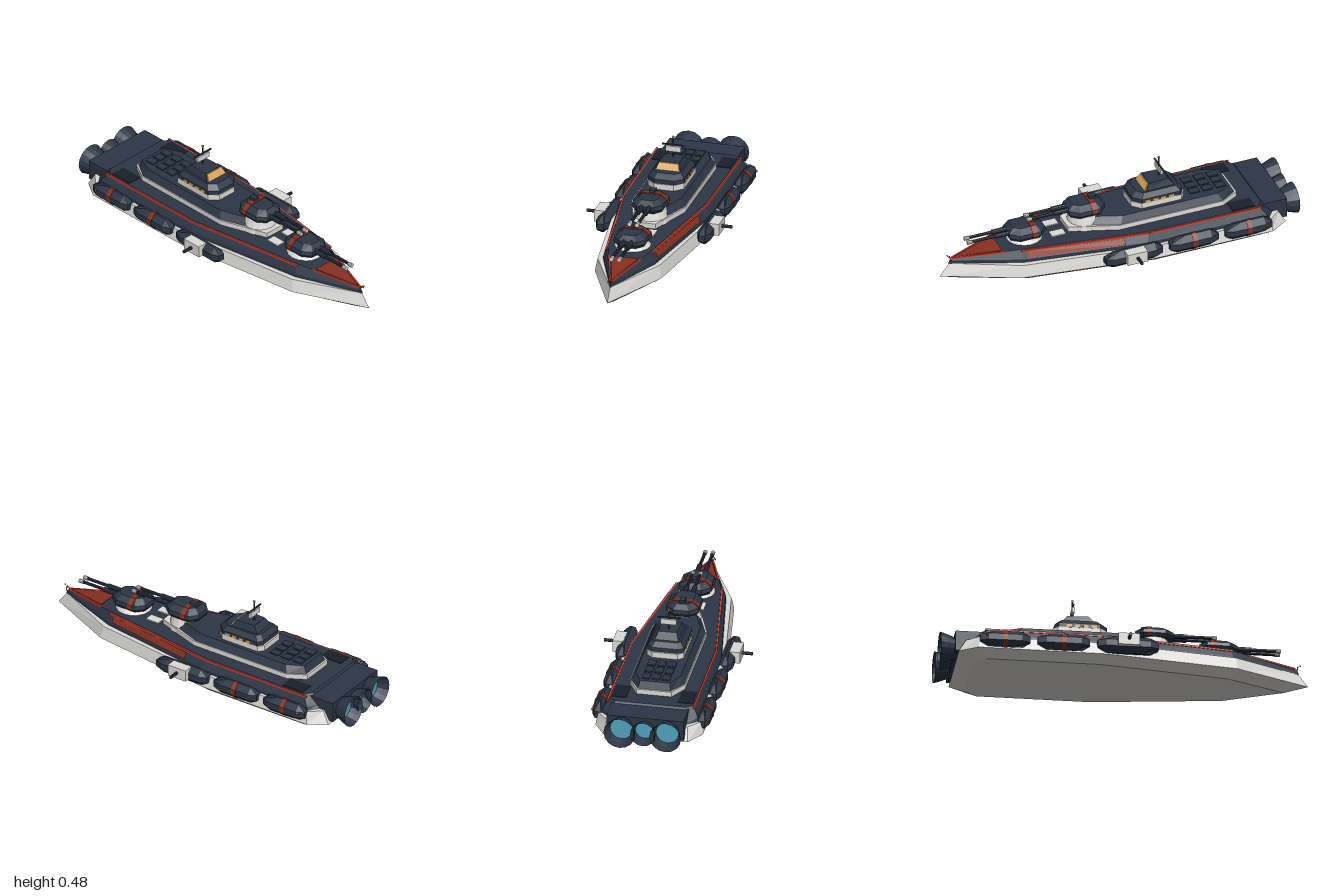
import * as THREE from 'three';

const mat = (name, color, extra = {}) => Object.assign(new THREE.MeshStandardMaterial({ color, flatShading: true, ...extra }), { name });

export function createModel() {
  const ship = new THREE.Group();
  ship.name = 'warship';
  const white = mat('hull white', 0xdddbd7);
  const navy = mat('navy armour', 0x2c3646, { side: THREE.DoubleSide });
  const brick = mat('brick red', 0x86301f, { side: THREE.DoubleSide });
  const red = mat('bright red', 0xdd4030);
  const amber = mat('amber glass', 0xdca55a);
  const teal = mat('engine glow', 0x4fa3bd);
  const black = mat('recess black', 0x191f29);

  const add = (name, geo, material, x = 0, y = 0, z = 0, parent = ship) => {
    const mesh = new THREE.Mesh(geo, material);
    mesh.name = name;
    mesh.position.set(x, y, z);
    parent.add(mesh);
    return mesh;
  };
  const box = (name, m, w, h, d, x, y, z, parent) => add(name, new THREE.BoxGeometry(w, h, d), m, x, y, z, parent);

  // Solid through stacked outlines; each level is [y, [[x, halfWidth, ownY?], ...]] from aft to fore
  const slab = (levels) => {
    const pos = [];
    const tri = (a, b, c) => {
      const area = b.clone().sub(a).cross(c.clone().sub(a)).length();
      if (area > 1e-9) for (const p of [a, b, c]) pos.push(p.x, p.y, p.z);
    };
    const quad = (a, b, c, d) => { tri(a, b, c); tri(a, c, d); };
    const rings = levels.map(([y, pts]) => {
      const side = (s) => pts.map(([x, z, own]) => new THREE.Vector3(x, own ?? y, s * z));
      return [...side(1), ...side(-1).reverse()];
    });
    const n = rings[0].length;
    for (let r = 0; r + 1 < rings.length; r++) {
      for (let i = 0; i < n; i++) {
        const j = (i + 1) % n;
        quad(rings[r][i], rings[r][j], rings[r + 1][j], rings[r + 1][i]);
      }
    }
    const low = rings[0], top = rings[rings.length - 1];
    for (let i = 0; i + 1 < n / 2; i++) {
      quad(top[i], top[i + 1], top[n - 2 - i], top[n - 1 - i]);
      quad(low[n - 1 - i], low[n - 2 - i], low[i + 1], low[i]);
    }
    const g = new THREE.BufferGeometry();
    g.setAttribute('position', new THREE.Float32BufferAttribute(pos, 3));
    g.computeVertexNormals();
    return g;
  };

  // Thin bar between two points
  const beam = (name, m, a, b, size) => {
    const p = new THREE.Vector3(...a), q = new THREE.Vector3(...b);
    const mesh = add(name, new THREE.BoxGeometry(size, size, p.distanceTo(q)), m);
    mesh.position.copy(p).add(q).multiplyScalar(0.5);
    mesh.lookAt(q);
  };
  const rod = (name, m, r, len, x, y, z, axis, parent, sides = 10) => {
    const g = new THREE.CylinderGeometry(r, r, len, sides);
    if (axis === 'x') g.rotateZ(-Math.PI / 2);
    if (axis === 'z') g.rotateX(Math.PI / 2);
    return add(name, g, m, x, y, z, parent);
  };

  // Hull and armoured deck
  add('lowerHull', slab([
    [0, [[-0.83, 0.19], [-0.76, 0.24], [-0.15, 0.24], [0.55, 0.14], [0.87, 0]]],
    [0.042, [[-0.91, 0.23], [-0.81, 0.293], [-0.12, 0.288], [0.6, 0.185], [1, 0]]],
    [0.112, [[-0.87, 0.22], [-0.8, 0.28], [-0.12, 0.275], [0.59, 0.172], [0.945, 0]]],
  ]), white);
  add('upperHull', slab([
    [0.11, [[-0.85, 0.2], [-0.8, 0.262], [-0.1, 0.255], [0.58, 0.145], [0.95, 0]]],
    [0.13, [[-0.83, 0.2], [-0.79, 0.26], [-0.1, 0.253], [0.58, 0.143], [0.945, 0]]],
    [0.18, [[-0.78, 0.19], [-0.75, 0.23], [-0.12, 0.225], [0.57, 0.12], [0.93, 0, 0.14]]],
  ]), navy);
  add('bowPanel', slab([
    [0.16, [[0.67, 0.078, 0.168], [0.91, 0.002, 0.141]]],
    [0.17, [[0.67, 0.078, 0.174], [0.91, 0.002, 0.147]]],
  ]), brick);
  for (const s of [1, -1]) {
    beam('sideStripe', red, [-0.77, 0.173, s * 0.235], [-0.12, 0.173, s * 0.23], 0.01);
    beam('sideStripe', red, [-0.12, 0.173, s * 0.23], [0.58, 0.173, s * 0.125], 0.01);
    beam('bowStripe', red, [0.66, 0.168, s * 0.09], [0.93, 0.143, s * 0.003], 0.008);
    beam('bowChevron', red, [0.945, 0.158, 0], [0.94, 0.137, s * 0.016], 0.005);
    box('deckRecess', black, 0.13, 0.004, 0.08, -0.67, 0.181, s * 0.18);
    box('deckHatch', white, 0.08, 0.006, 0.052, 0.34, 0.183, s * 0.052);
  }
  add('bowLamp', new THREE.SphereGeometry(0.005, 8, 6), amber, 0.957, 0.163, 0);

  // Painted panel on the far sloping flank
  const flank = new THREE.BufferGeometry();
  flank.setAttribute('position', new THREE.Float32BufferAttribute([
    0.02, 0.138, -0.234, 0.55, 0.138, -0.148, 0.55, 0.17, -0.133, 0.02, 0.17, -0.215], 3));
  flank.setIndex([0, 2, 1, 0, 3, 2]);
  flank.computeVertexNormals();
  add('flankPanel', flank, brick, 0, 0, -0.004);

  // Superstructure
  add('superstructureBase', slab([0.178, 0.208].map((y) =>
    [y, [[-0.68, 0.095], [-0.58, 0.15], [0.02, 0.15], [0.28, 0.06]]])), white);
  add('superstructure', slab([
    [0.206, [[-0.67, 0.09], [-0.58, 0.146], [0.01, 0.146], [0.23, 0.065]]],
    [0.246, [[-0.65, 0.08], [-0.56, 0.122], [-0.01, 0.122], [0.19, 0.05]]],
  ]), navy);
  for (let i = 0; i < 3; i++) for (const z of [-0.055, 0, 0.055]) {
    box('roofPanel', navy, 0.055, 0.008, 0.042, -0.6 + i * 0.075, 0.249, z);
  }

  // Bridge tower
  add('towerBase', slab([0.244, 0.278].map((y) =>
    [y, [[-0.385, 0.07], [-0.36, 0.1], [-0.13, 0.1], [-0.085, 0.055]]])), white);
  add('towerMiddle', slab([
    [0.276, [[-0.375, 0.07], [-0.355, 0.1], [-0.13, 0.1], [-0.09, 0.055]]],
    [0.302, [[-0.375, 0.07], [-0.355, 0.1], [-0.13, 0.1], [-0.09, 0.055]]],
    [0.328, [[-0.35, 0.055], [-0.335, 0.078], [-0.15, 0.078], [-0.12, 0.045]]],
  ]), navy);
  add('bridge', slab([
    [0.325, [[-0.335, 0.065], [-0.165, 0.07]]],
    [0.365, [[-0.305, 0.05], [-0.19, 0.056]]],
  ]), navy);
  add('bridgeWindow', slab([
    [0.328, [[-0.168, 0.064], [-0.16, 0.064]]],
    [0.362, [[-0.19, 0.052], [-0.182, 0.052]]],
  ]), amber);
  for (const s of [1, -1]) for (let i = 0; i < 4; i++) {
    box('towerWindow', amber, 0.028, 0.018, 0.006, -0.3 + i * 0.045, 0.285, s * 0.1);
  }

  // Mast and radar
  rod('mast', navy, 0.004, 0.115, -0.27, 0.42, 0, 'y');
  box('radarPanel', white, 0.014, 0.03, 0.085, -0.27, 0.41, 0);
  box('mastCrossbar', navy, 0.008, 0.007, 0.124, -0.27, 0.433, 0);
  box('mastLamp', amber, 0.01, 0.01, 0.01, -0.27, 0.478, 0);

  // Twin gun turrets
  const turretPlan = (k, w) => [[-0.105 * k, w * 0.5], [-0.065 * k, w], [0.06 * k, w], [0.108 * k, w * 0.55]];
  const turret = (x, y, ringBase) => {
    const g = new THREE.Group();
    g.name = 'gunTurret';
    g.position.set(x, y, 0);
    ship.add(g);
    const h = y - ringBase + 0.004;
    add('turretRing', new THREE.CylinderGeometry(0.078, 0.1, h, 16), white, 0, -h / 2 + 0.004, 0, g);
    add('turretHousing', slab([
      [0, turretPlan(0.9, 0.078)], [0.018, turretPlan(1, 0.09)],
      [0.04, turretPlan(0.97, 0.085)], [0.065, turretPlan(0.7, 0.052)],
    ]), navy, 0, 0, 0, g);
    add('turretBand', slab([[0.002, 0.081], [0.018, 0.093], [0.04, 0.088], [0.068, 0.053]]
      .map(([ly, w]) => [ly, [[-0.045, w], [-0.015, w]]])), brick, 0, 0, 0, g);
    box('rangefinder', navy, 0.04, 0.02, 0.03, -0.045, 0.072, 0, g);
    for (const z of [-0.021, 0.021]) {
      rod('barrelSleeve', navy, 0.014, 0.1, 0.13, 0.033, z, 'x', g);
      rod('barrel', navy, 0.009, 0.2, 0.23, 0.033, z, 'x', g);
      rod('muzzle', white, 0.012, 0.026, 0.326, 0.033, z, 'x', g);
    }
  };
  turret(0.165, 0.258, 0.18);
  turret(0.51, 0.2, 0.178);

  // Flank pods, two banded and one carrying a gun on each side
  const podLevels = (L, e = 0) => [[-0.048 - e, 0.006, 0.006], [-0.018, 0.018, 0.037 + e],
    [0.018, 0.018, 0.037 + e], [0.048 + e, 0.006, 0.006]].map(([y, end, w], i) => {
    const half = i % 3 ? L : L - 0.045;
    return [y, e ? [[-L, w], [L, w]] : [[-half, end], [-half + 0.045, w], [half - 0.045, w], [half, end]]];
  });
  for (const s of [1, -1]) {
    for (const [x, L] of [[-0.668, 0.135], [-0.352, 0.14], [-0.005, 0.165]]) {
      add('flankPod', slab(podLevels(L)), navy, x, 0.098, s * 0.283);
      if (x < -0.1) add('podBand', slab(podLevels(0.013, 0.003)), brick, x, 0.098, s * 0.283);
    }
    box('sideGunMount', white, 0.115, 0.066, 0.07, -0.005, 0.112, s * 0.312);
    rod('sideGunBarrel', navy, 0.009, 0.07, -0.005, 0.114, s * 0.37, 'z');
    add('podLamp', new THREE.SphereGeometry(0.008, 8, 6), red, -0.765, 0.108, s * 0.318);
  }

  // Stern block and engines
  box('sternBlock', navy, 0.17, 0.115, 0.42, -0.84, 0.113, 0);
  const bell = [[0.056, 0], [0.06, 0.04], [0.075, 0.08], [0.086, 0.115]].map(([r, y]) => new THREE.Vector2(r, y));
  for (const [z, k] of [[-0.125, 1], [0, 0.8], [0.125, 1]]) {
    const g = new THREE.Group();
    g.name = 'engine';
    g.position.set(-0.887, 0.105, z);
    g.rotation.z = Math.PI / 2;
    g.scale.set(k, k === 1 ? 1 : 0.9, k);
    ship.add(g);
    add('engineBell', new THREE.LatheGeometry(bell, 16), navy, 0, 0, 0, g);
    add('engineGlow', new THREE.CylinderGeometry(0.062, 0.058, 0.008, 16), teal, 0, 0.05, 0, g);
  }
  return ship;
}
